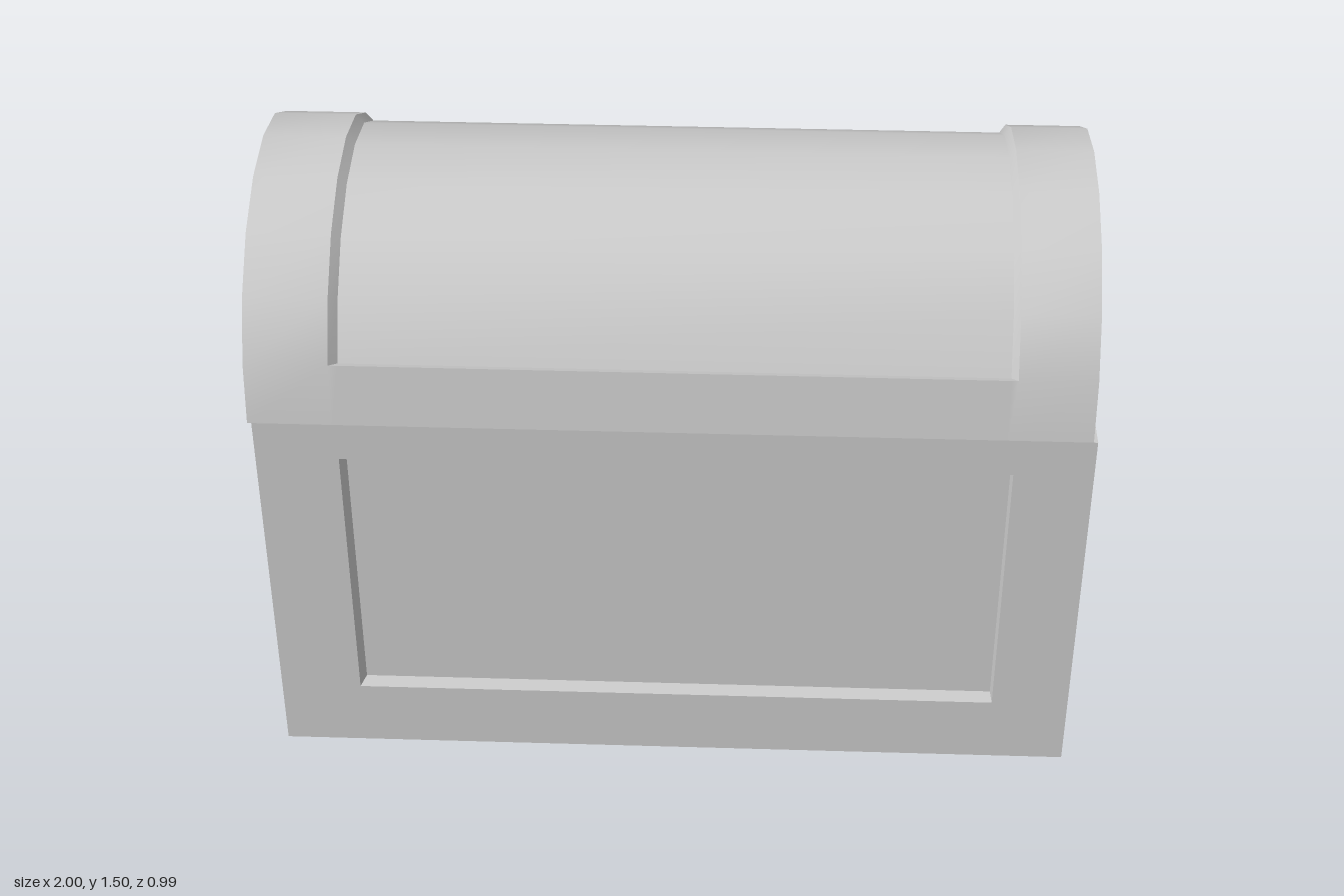
import * as THREE from 'three';
import { toCreasedNormals } from 'three/addons/utils/BufferGeometryUtils.js';

const material = new THREE.MeshStandardMaterial({ color: 0xcccccc });
const V = (x, y, z) => new THREE.Vector3(x, y, z);

// Quad with corners counter-clockwise from outside; zero-area triangles are dropped
function quad(out, a, b, c, d) {
  for (const t of [[a, b, c], [a, c, d]]) {
    if (new THREE.Triangle(...t).getArea() > 1e-8) t.forEach(p => out.push(p.x, p.y, p.z));
  }
}

function makeMesh(name, positions) {
  const geo = new THREE.BufferGeometry();
  geo.setAttribute('position', new THREE.Float32BufferAttribute(positions, 3));
  const mesh = new THREE.Mesh(toCreasedNormals(geo, 0.5), material);
  mesh.name = name;
  return mesh;
}

const R = 0.496;        // half depth of the chest and radius of the lid
const DEPTH = 0.02;     // depth of the recesses
const SEGMENTS = 10;    // facets of the lid arch

// One wall of the body: frame, bevelled step and sunken panel.
// Rectangles are [u0, v0, u1, v1] along the directions u and v; u x v points outward.
function panelWall(name, u, v, dist, outer, hole, floor) {
  const n = u.clone().cross(v);
  const loop = ([u0, v0, u1, v1], d) => [[u0, v0], [u1, v0], [u1, v1], [u0, v1]].map(([a, b]) =>
    V(0, 0, 0).addScaledVector(u, a).addScaledVector(v, b).addScaledVector(n, d));
  const loops = [loop(outer, dist), loop(hole, dist), loop(floor, dist - DEPTH)];
  const out = [];
  for (let l = 0; l < 2; l++) {
    for (let i = 0; i < 4; i++) {
      const j = (i + 1) % 4;
      quad(out, loops[l][i], loops[l][j], loops[l + 1][j], loops[l + 1][i]);
    }
  }
  quad(out, ...loops[2]);
  return makeMesh(name, out);
}

function makeBody() {
  const body = new THREE.Group();
  body.name = 'body';
  const x = V(1, 0, 0), y = V(0, 1, 0), z = V(0, 0, 1);
  const nx = V(-1, 0, 0), nz = V(0, 0, -1);
  body.add(
    panelWall('frontWall', x, y, R, [-0.99, 0, 1, 1], [-0.79, 0.18, 0.81, 0.9], [-0.775, 0.2, 0.805, 0.895]),
    panelWall('backWall', nx, y, R, [-1, 0, 0.99, 1], [-0.81, 0.18, 0.79, 0.9], [-0.795, 0.2, 0.785, 0.895]),
    panelWall('leftWall', nz, y, 1, [-R, 0, R, 1], [-0.4, 0.18, 0.405, 0.9], [-0.39, 0.2, 0.395, 0.895]),
    panelWall('rightWall', z, y, 0.99, [-R, 0, R, 1], [-0.4, 0.18, 0.405, 0.9], [-0.39, 0.2, 0.395, 0.895]),
    panelWall('bottom', x, z, 0, [-0.99, -R, 1, R], [-0.8, -0.4, 0.81, 0.4], [-0.785, -0.385, 0.795, 0.385]),
  );
  // Flat closing face under the lid
  const top = [];
  quad(top, V(-0.99, 1, R), V(1, 1, R), V(1, 1, -R), V(-0.99, 1, -R));
  body.add(makeMesh('bodyTop', top));
  return body;
}

function makeLid() {
  const r = R - DEPTH;
  // [x, radius] from one end to the other: sunken end, rim, sunken barrel, rim, sunken end
  const profile = [
    [-0.98, 0], [-0.98, 0.398], [-1, 0.415], [-1, R], [-0.8, R], [-0.78, r],
    [0.79, r], [0.805, R], [0.99, R], [0.99, 0.415], [0.97, 0.398], [0.97, 0],
  ];
  const point = ([x, rad], k) => {
    const a = (k / SEGMENTS) * Math.PI;
    return V(x, 1 + rad * Math.sin(a), rad * Math.cos(a));
  };
  const out = [];
  for (let k = 0; k < SEGMENTS; k++) {
    // The lowest front facet is not sunken
    const row = k === 0 ? profile.map(([x, rad]) => [x, rad === r ? R : rad]) : profile;
    for (let i = 0; i < row.length - 1; i++) {
      quad(out, point(row[i], k), point(row[i + 1], k), point(row[i + 1], k + 1), point(row[i], k + 1));
    }
  }
  // Step between the front facet and the sunken barrel
  quad(out, ...[4, 7, 6, 5].map(i => point(profile[i], 1)));
  // Underside
  quad(out, V(-1, 1, -R), V(0.99, 1, -R), V(0.99, 1, R), V(-1, 1, R));
  return makeMesh('lid', out);
}

export function createModel() {
  const chest = new THREE.Group();
  chest.name = 'chest';
  chest.add(makeBody(), makeLid());
  return chest;
}
